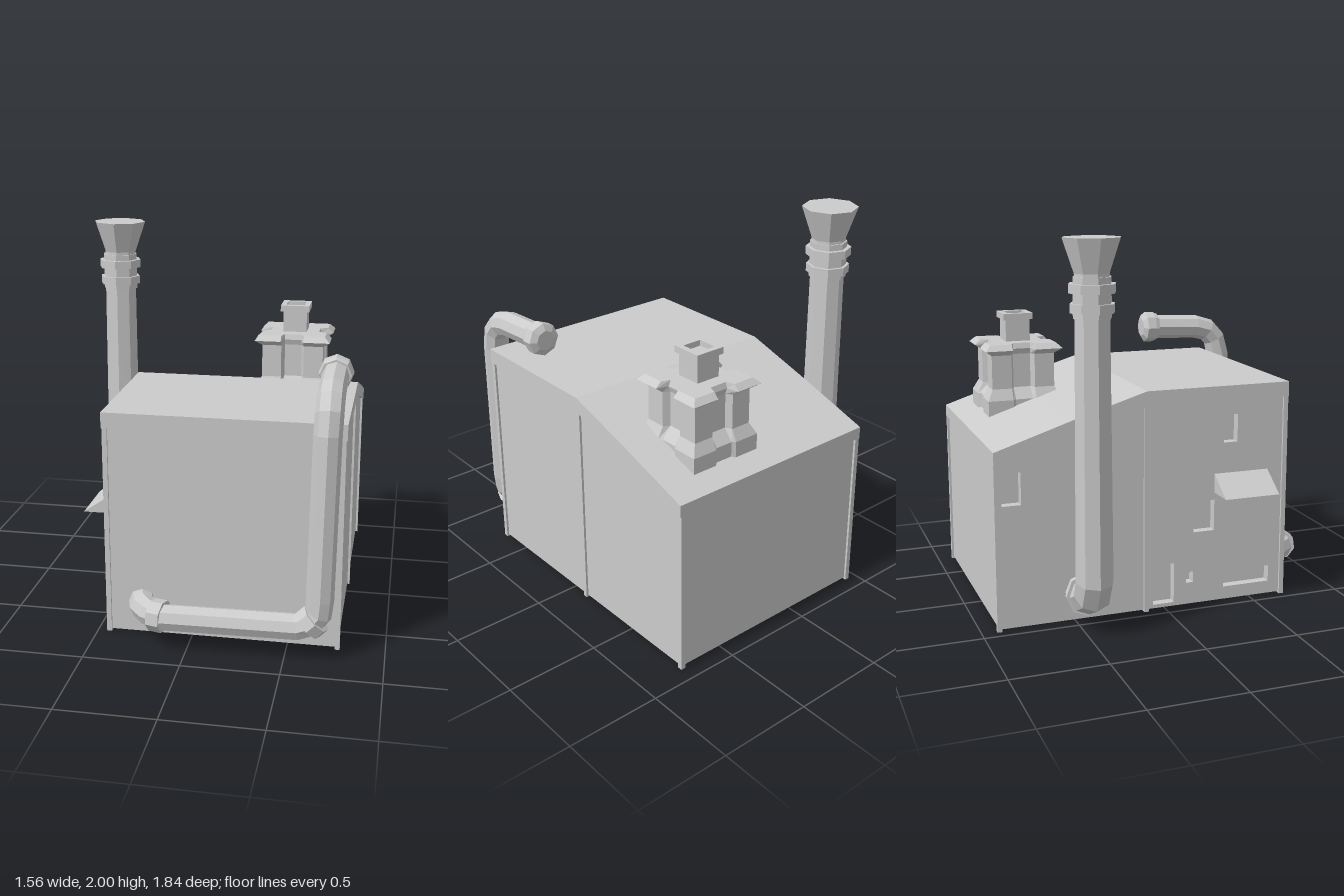
import * as THREE from 'three';

const material = new THREE.MeshStandardMaterial({ color: 0xcccccc, flatShading: true });
const V = (x, y, z) => new THREE.Vector3(x, y, z);

function add(group, name, geometry) {
  const mesh = new THREE.Mesh(geometry, material);
  mesh.name = name;
  group.add(mesh);
  return mesh;
}

function box(group, name, x0, x1, y0, y1, z0, z1) {
  const mesh = add(group, name, new THREE.BoxGeometry(x1 - x0, y1 - y0, z1 - z0));
  mesh.position.set((x0 + x1) / 2, (y0 + y1) / 2, (z0 + z1) / 2);
  return mesh;
}

// Skin a row of closed rings and cap both ends
function loft(rings) {
  const pos = [];
  const tri = (...pts) => pts.forEach((p) => pos.push(p.x, p.y, p.z));
  const n = rings[0].length;
  for (let i = 0; i + 1 < rings.length; i++) {
    for (let j = 0; j < n; j++) {
      const k = (j + 1) % n, a = rings[i], b = rings[i + 1];
      tri(a[j], a[k], b[k]);
      tri(a[j], b[k], b[j]);
    }
  }
  [rings[0], rings[rings.length - 1]].forEach((ring, end) => {
    const mid = ring.reduce((s, p) => s.add(p), V(0, 0, 0)).divideScalar(n);
    ring.forEach((p, j) => {
      const q = ring[(j + 1) % n];
      if (end) tri(mid, p, q); else tri(mid, q, p);
    });
  });
  const g = new THREE.BufferGeometry();
  g.setAttribute('position', new THREE.Float32BufferAttribute(pos, 3));
  g.computeVertexNormals();
  return g;
}

// Eight-sided pipe through stations [x, y, z, radius]
function pipe(stations, up) {
  const pts = stations.map((s) => V(s[0], s[1], s[2]));
  let normal = up.clone();
  const rings = pts.map((p, i) => {
    const t = V(0, 0, 0);
    if (i > 0) t.add(p.clone().sub(pts[i - 1]).normalize());
    if (i + 1 < pts.length) t.add(pts[i + 1].clone().sub(p).normalize());
    t.normalize();
    normal = normal.clone().addScaledVector(t, -normal.dot(t)).normalize();
    const side = t.clone().cross(normal);
    return Array.from({ length: 8 }, (_, k) => {
      const a = (k * Math.PI) / 4;
      return p.clone().addScaledVector(normal, stations[i][3] * Math.cos(a))
        .addScaledVector(side, stations[i][3] * Math.sin(a));
    });
  });
  return loft(rings);
}

function collar(group, center, dir, radius, length) {
  const mesh = add(group, 'pipeCollar', new THREE.CylinderGeometry(radius, radius, length, 8));
  mesh.position.copy(center);
  mesh.quaternion.setFromUnitVectors(V(0, 1, 0), dir.normalize());
}

// Extrude a (z, y) outline across the width
function acrossWidth(points, x0, x1, holes = []) {
  const shape = new THREE.Shape(points.map(([z, y]) => new THREE.Vector2(z, y)));
  for (const [z0, z1, y0, y1] of holes) {
    shape.holes.push(new THREE.Path([[z0, y0], [z0, y1], [z1, y1], [z1, y0]]
      .map(([z, y]) => new THREE.Vector2(z, y))));
  }
  return new THREE.ExtrudeGeometry(shape, { depth: x1 - x0, bevelEnabled: false })
    .rotateY(-Math.PI / 2).translate(x1, 0, 0);
}

function buildHouse() {
  const g = new THREE.Group();
  g.name = 'house';
  const wall = [[-0.908, 0.01], [0.688, 0.01], [0.688, 1.14], [-0.11, 1.14], [-0.52, 1.03], [-0.908, 0.9]];
  add(g, 'walls', acrossWidth(wall, -0.39, 0.758));
  // Window and door openings in the side wall: z0, z1, y0, y1
  add(g, 'windowWall', acrossWidth(wall, -0.44, -0.39, [
    [-0.88, -0.78, 0.66, 0.83], [0.33, 0.41, 0.89, 1.04], [0.16, 0.28, 0.41, 0.58],
    [0.34, 0.61, 0.08, 0.17], [0.12, 0.16, 0.13, 0.19], [-0.07, 0.05, 0.03, 0.25],
  ]));
  add(g, 'roof', acrossWidth([
    [0.7, 1.12], [0.7, 1.2], [-0.11, 1.2], [-0.52, 1.075], [-0.92, 0.945],
    [-0.92, 0.88], [-0.52, 1.005], [-0.11, 1.12],
  ].reverse(), -0.456, 0.775));
  // Corner and middle posts
  for (const [z, top] of [[0.687, 1.14], [-0.11, 1.13], [-0.907, 0.9]]) {
    for (const x of [-0.439, 0.757]) {
      box(g, 'post', x - 0.013, x + 0.013, 0, top, z - 0.013, z + 0.013);
    }
  }
  // Sloping canopy over the side windows
  const canopy = new THREE.Shape([[-0.59, 0.62], [-0.43, 0.62], [-0.43, 0.73]]
    .map(([x, y]) => new THREE.Vector2(x, y)));
  add(g, 'canopy', new THREE.ExtrudeGeometry(canopy, { depth: 0.31, bevelEnabled: false }).translate(0, 0, 0.28));
  return g;
}

function buildStack() {
  const g = new THREE.Group();
  g.name = 'smokeStack';
  const z = -0.46;
  add(g, 'stackPipe', pipe([
    [-0.42, 0.165, z, 0.095], [-0.53, 0.168, z, 0.097], [-0.605, 0.205, z, 0.1],
    [-0.642, 0.29, z, 0.1], [-0.64, 1.62, z, 0.09], [-0.638, 1.83, z, 0.09], [-0.637, 2, z, 0.148],
  ], V(0, 0, 1)));
  collar(g, V(-0.64, 1.665, z), V(0, 1, 0), 0.114, 0.045);
  collar(g, V(-0.64, 1.715, z), V(0, 1, 0), 0.098, 0.2);
  collar(g, V(-0.64, 1.76, z), V(0, 1, 0), 0.12, 0.045);
  collar(g, V(-0.51, 0.168, z), V(1, -0.12, 0), 0.114, 0.02);
  return g;
}

function buildFrontPipe() {
  const g = new THREE.Group();
  g.name = 'frontPipe';
  const r = 0.07;
  add(g, 'bentPipe', pipe([
    [-0.265, 0.18, 0.67, r], [-0.245, 0.18, 0.74, r], [-0.195, 0.18, 0.805, r], [-0.12, 0.175, 0.838, r],
    [0.56, 0.172, 0.815, r], [0.625, 0.195, 0.812, r], [0.665, 0.25, 0.81, r], [0.672, 0.33, 0.81, r],
    [0.685, 1.17, 0.785, r], [0.688, 1.27, 0.76, r], [0.688, 1.325, 0.71, r], [0.687, 1.348, 0.63, r],
    [0.685, 1.36, 0.37, r],
  ], V(0, 1, 0)));
  // Elbow collars
  collar(g, V(-0.145, 0.177, 0.828), V(1, 0, 0.25), 0.084, 0.07);
  collar(g, V(0.635, 0.205, 0.812), V(0.7, 0.7, 0), 0.085, 0.06);
  // Rounded end cap
  add(g, 'endCap', pipe([
    [0.685, 1.358, 0.37, 0.082], [0.685, 1.36, 0.345, 0.09], [0.685, 1.362, 0.295, 0.09],
    [0.685, 1.362, 0.275, 0.055],
  ], V(0, 1, 0)));
  return g;
}

function buildChimney() {
  const g = new THREE.Group();
  g.name = 'roofVent';
  // Square section with a notch in each side: half width h, notch floor n
  const section = ([y, h, n]) => {
    const ring = [];
    for (let k = 0; k < 4; k++) {
      for (const [a, b] of [[h, h], [0.065, h], [0.048, n], [-0.048, n], [-0.065, h]]) {
        ring.push(V(a, y, -b).applyAxisAngle(V(0, 1, 0), (k * Math.PI) / 2));
      }
    }
    return ring;
  };
  add(g, 'ventBody', loft([
    [0.94, 0.205, 0.19], [1.07, 0.205, 0.19], [1.13, 0.175, 0.14], [1.315, 0.175, 0.14],
    [1.345, 0.215, 0.15], [1.375, 0.185, 0.14],
  ].map(section)));
  // Hollow flue with a projecting rim
  box(g, 'flue', -0.068, 0.068, 1.36, 1.5, -0.068, 0.068);
  for (let k = 0; k < 4; k++) {
    const rim = box(g, 'flueRim', -0.083, 0.083, 1.495, 1.53, -0.083, -0.053);
    rim.position.applyAxisAngle(V(0, 1, 0), (k * Math.PI) / 2);
    rim.rotation.y = (k * Math.PI) / 2;
  }
  g.position.set(0.38, 0, -0.59);
  return g;
}

export function createModel() {
  const model = new THREE.Group();
  model.name = 'boilerHouse';
  model.add(buildHouse(), buildStack(), buildFrontPipe(), buildChimney());
  return model;
}
